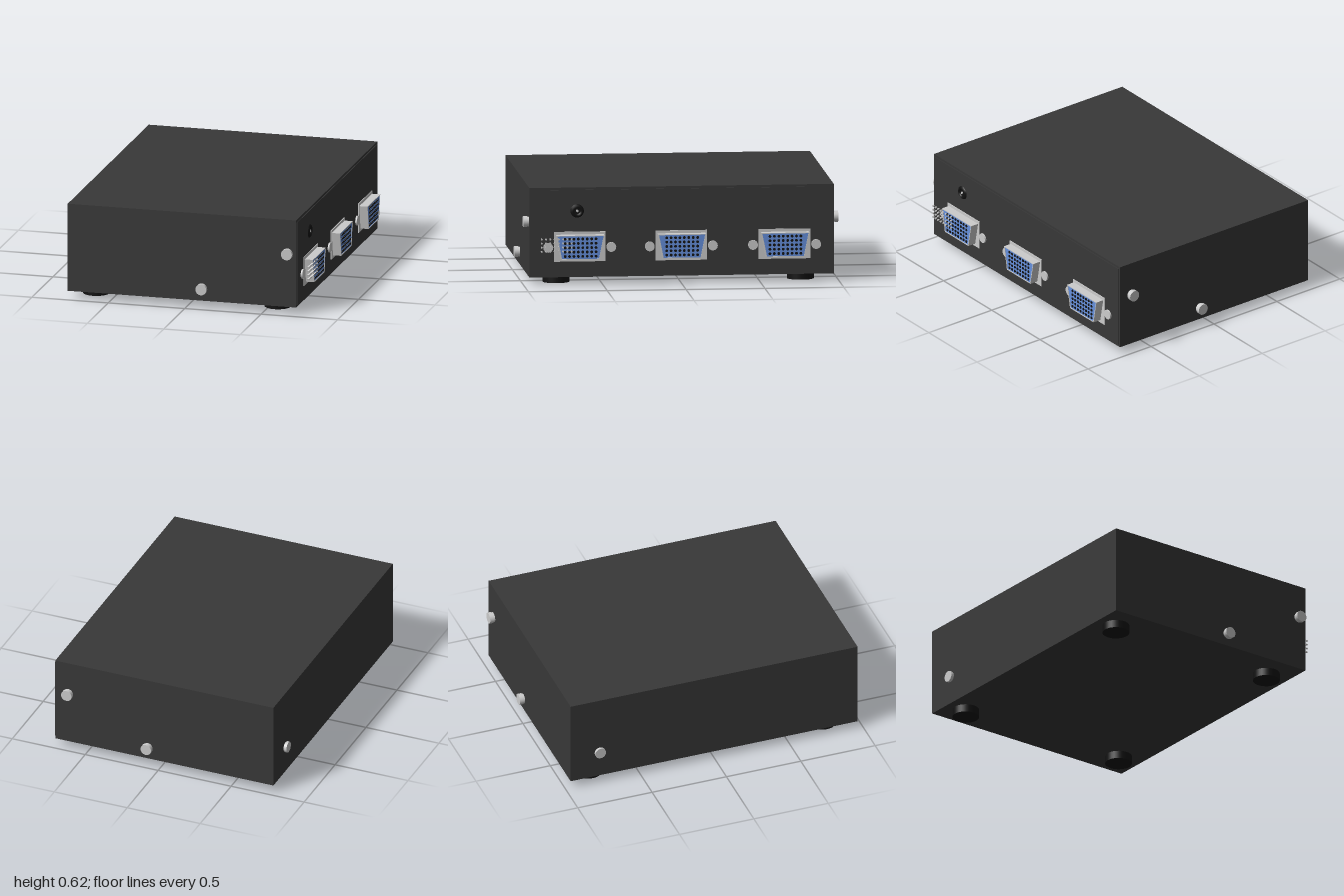
import * as THREE from 'three';

const material = (color) => new THREE.MeshStandardMaterial({ color });

export function createModel() {
  const model = new THREE.Group();
  const grey = material(0xcccccc);
  const dark = material(0x383838);
  const black = material(0x121212);
  const blue = material(0x6690dd);

  const SIDE = 0.72; // x of the connector side of the case
  const END = 0.965; // half length of the case

  function add(parent, name, geometry, mat, x = 0, y = 0, z = 0) {
    const mesh = new THREE.Mesh(geometry, mat);
    mesh.name = name;
    mesh.position.set(x, y, z);
    parent.add(mesh);
    return mesh;
  }

  // Disc or stud whose axis runs along x, y or z
  function stud(axis, r, length, sides = 24) {
    const g = new THREE.CylinderGeometry(r, r, length, sides);
    if (axis === 'x') g.rotateZ(-Math.PI / 2);
    if (axis === 'z') g.rotateX(Math.PI / 2);
    return g;
  }

  // Trapezoid outline, wide at the top
  function trapezoid(top, bottom, h, Type = THREE.Shape) {
    const s = new Type();
    s.moveTo(-bottom, -h);
    s.lineTo(bottom, -h);
    s.lineTo(top, h);
    s.lineTo(-top, h);
    s.closePath();
    return s;
  }

  // Extrusion pointing out along +x
  const outward = (shape, depth) =>
    new THREE.ExtrudeGeometry(shape, { depth, bevelEnabled: false, curveSegments: 24 }).rotateY(Math.PI / 2);

  // Case and the thin panel that carries the sockets
  add(model, 'case', new THREE.BoxGeometry(1.495, 0.57, END * 2), dark, -0.0275, 0.335, 0);
  add(model, 'socketPanel', new THREE.BoxGeometry(0.01, 0.54, 1.91), dark, SIDE, 0.335, 0);

  // Rubber feet
  for (const [x, z] of [[-0.638, 0.78], [0.55, 0.78], [-0.638, -0.795], [0.55, -0.77]]) {
    add(model, 'foot', stud('y', 0.085, 0.055, 32), black, x, 0.0275, z);
  }

  // Case screws: a shank and a slightly wider head
  function screw(axis, x, y, z, dir, length) {
    const g = new THREE.Group();
    g.name = 'caseScrew';
    const at = (d) => (axis === 'z' ? [0, 0, d * dir] : [d * dir, 0, 0]);
    add(g, 'shank', stud(axis, 0.032, length), grey, ...at(length / 2));
    add(g, 'head', stud(axis, 0.036, length * 0.7), grey, ...at(length * 0.65));
    g.position.set(x, y, z);
    model.add(g);
  }
  screw('z', 0.665, 0.4, END, 1, 0.035);
  screw('z', 0.105, 0.13, END, 1, 0.035);
  screw('z', 0.63, 0.4, -END, -1, 0.035);
  screw('z', 0.085, 0.13, -END, -1, 0.035);
  screw('x', -0.775, 0.23, -0.77, -1, 0.022);

  // Video sockets with flange, metal shell, coloured insert and pin holes
  const flange = new THREE.BoxGeometry(0.01, 0.19, 0.327);
  const shellShape = trapezoid(0.152, 0.122, 0.077);
  shellShape.holes.push(trapezoid(0.146, 0.117, 0.072, THREE.Path));
  const shell = outward(shellShape, 0.064);
  const insert = outward(trapezoid(0.146, 0.117, 0.072), 0.061);
  const hole = stud('x', 0.009, 0.006, 10);
  const jackscrew = stud('x', 0.031, 0.02);
  for (const z of [0.647, 0.003, -0.652]) {
    const socket = new THREE.Group();
    socket.name = 'videoSocket';
    socket.position.set(SIDE, 0.245, z);
    add(socket, 'flange', flange, grey, 0.005);
    add(socket, 'shell', shell, grey);
    add(socket, 'insert', insert, blue);
    for (let row = 0; row < 5; row++) {
      for (let col = 0; col < 8; col++) {
        add(socket, 'pinHole', hole, black, 0.061, 0.055 - row * 0.0275, (col - 3.5) * 0.028);
      }
    }
    for (const s of [-1, 1]) add(socket, 'jackscrew', jackscrew, grey, 0.006, -0.005, s * 0.2);
    model.add(socket);
  }

  // Loose grid of fine contact pins in front of the foremost socket
  const pin = stud('x', 0.006, 0.012, 8);
  for (let row = 0; row < 4; row++) {
    for (let col = 0; col < 8; col++) {
      add(model, 'contactPin', pin, grey, 0.782, 0.3 - row * 0.026, 0.893 - col * 0.027);
    }
  }

  // Power jack: a raised ring around a centre pin
  const jack = new THREE.Group();
  jack.name = 'powerJack';
  jack.position.set(SIDE, 0.472, 0.663);
  const ring = [[0.02, 0], [0.02, 0.014], [0.034, 0.014], [0.043, 0.006], [0.043, 0]];
  const ringGeometry = new THREE.LatheGeometry(ring.map(([r, y]) => new THREE.Vector2(r, y)).reverse(), 32);
  const ringMaterial = black.clone();
  ringMaterial.side = THREE.DoubleSide;
  add(jack, 'ring', ringGeometry.rotateZ(-Math.PI / 2), ringMaterial);
  add(jack, 'floor', stud('x', 0.022, 0.012), black);
  add(jack, 'centrePin', stud('x', 0.008, 0.012, 12), grey, 0.007);
  model.add(jack);

  return model;
}
